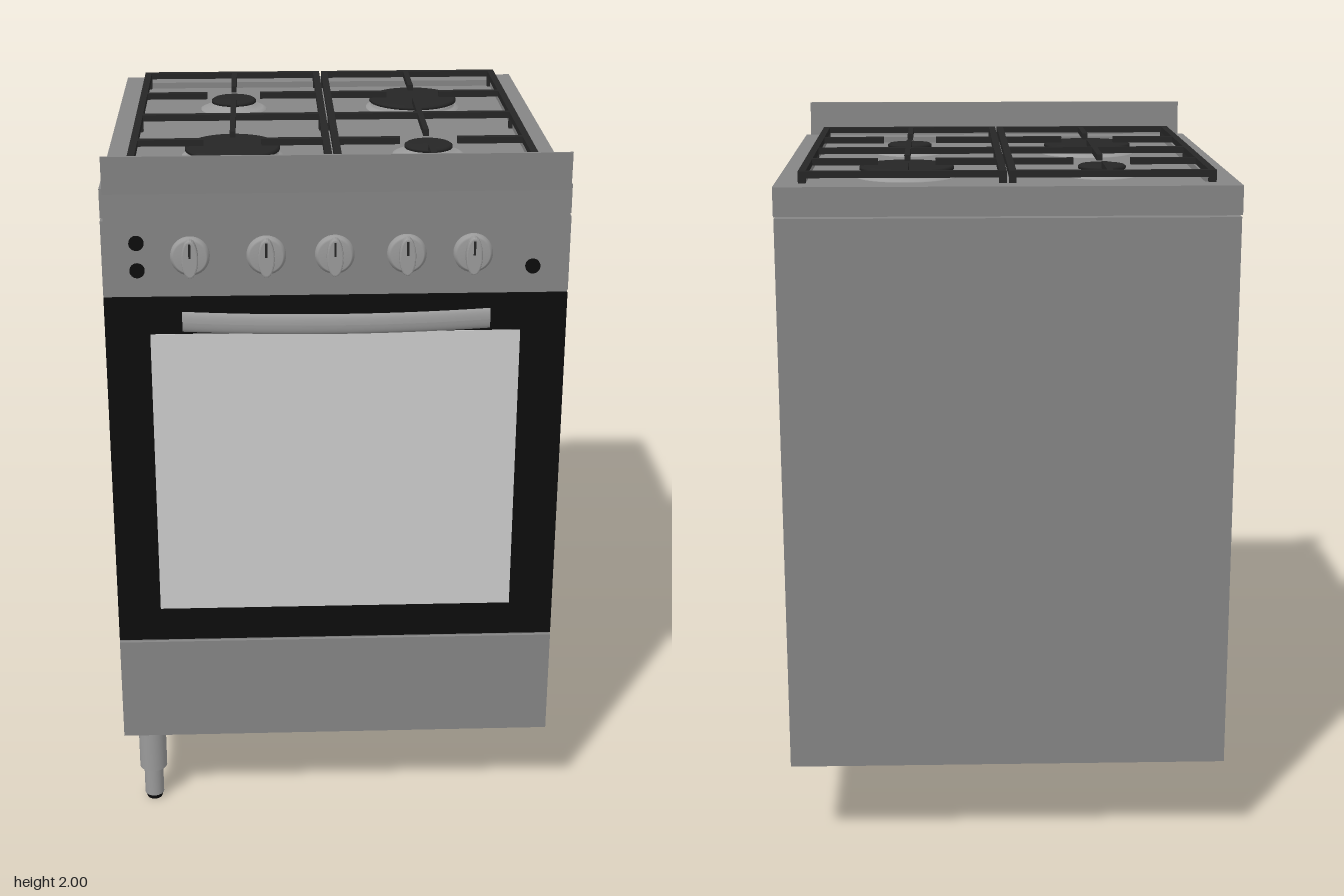
import * as THREE from 'three';

const mat = (color) => new THREE.MeshStandardMaterial({ color });
const steel = mat(0x858585), light = mat(0xcccccc), metal = mat(0x9a9a9a);
const black = mat(0x0c0c0c), iron = mat(0x262626);

export function createModel() {
  const model = new THREE.Group();

  const add = (name, geometry, material, x = 0, y = 0, z = 0, parent = model) => {
    const mesh = new THREE.Mesh(geometry, material);
    mesh.name = name;
    mesh.position.set(x, y, z);
    parent.add(mesh);
    return mesh;
  };
  // Box given by its limits on each axis
  const block = (name, material, [x0, x1], [y0, y1], [z0, z1], parent) =>
    add(name, new THREE.BoxGeometry(x1 - x0, y1 - y0, z1 - z0), material,
      (x0 + x1) / 2, (y0 + y1) / 2, (z0 + z1) / 2, parent);
  const lathe = (points, segments = 40) =>
    new THREE.LatheGeometry(points.map(([r, y]) => new THREE.Vector2(r, y)), segments);
  const group = (name, x = 0, y = 0, z = 0) => {
    const g = new THREE.Group();
    g.name = name;
    g.position.set(x, y, z);
    model.add(g);
    return g;
  };

  // Cabinet and front panels
  const W = 0.617;
  block('cabinet', steel, [-W, W], [0.255, 1.815], [-0.67, 0.625]);
  block('drawerFront', steel, [-W, W], [0.255, 0.565], [0.62, 0.635]);
  block('controlPanel', steel, [-W, W], [1.612, 1.815], [0.62, 0.635]);

  // Oven door, window and bowed handle
  block('ovenDoor', black, [-W, W], [0.572, 1.603], [0.62, 0.633]);
  block('doorWindow', light, [-0.497, 0.494], [0.672, 1.5], [0.625, 0.635]);
  const handle = new THREE.CylinderGeometry(0.028, 0.028, 0.82, 24, 24).rotateZ(Math.PI / 2);
  const hp = handle.attributes.position;
  for (let i = 0; i < hp.count; i++) {
    const t = hp.getX(i) / 0.41;
    hp.setZ(i, hp.getZ(i) * 0.4 - 0.033 * t * t);
  }
  handle.computeVertexNormals();
  add('doorHandle', handle, metal, 0, 1.538, 0.676);
  for (const s of [-1, 1])
    block('handleMount', metal, [s * 0.36 - 0.02, s * 0.36 + 0.02], [1.52, 1.556], [0.63, 0.652]);

  // Control knobs: round skirt, dial and raised grip
  for (const x of [-0.385, -0.185, -0.005, 0.185, 0.36]) {
    const knob = group('knob', x, 1.72, 0.635);
    const dial = lathe([[0.052, 0], [0.052, 0.012], [0.047, 0.017], [0.043, 0.022], [0, 0.022]]);
    add('knobDial', dial.rotateX(Math.PI / 2), metal, 0, 0, 0, knob);
    const shape = new THREE.Shape();
    shape.absellipse(0, 0, 0.018, 0.047, 0, Math.PI * 2);
    add('knobGrip', new THREE.ExtrudeGeometry(shape, {
      depth: 0.022, curveSegments: 16, bevelSize: 0.004, bevelThickness: 0.004, bevelSegments: 2,
    }), metal, 0, 0, 0.018, knob);
    block('knobPointer', iron, [-0.003, 0.003], [0.005, 0.043], [0.04, 0.0455], knob);
  }
  // Push buttons
  for (const [x, y] of [[-0.525, 1.755], [-0.525, 1.68], [0.52, 1.68]])
    add('pushButton', new THREE.CylinderGeometry(0.02, 0.02, 0.01, 24).rotateX(Math.PI / 2),
      black, x, y, 0.636);

  // Hob: rim with a shallow well
  const outline = (x, z0, z1, Type) => new Type([
    [-x, z0], [x, z0], [x, z1], [-x, z1]].map(([a, b]) => new THREE.Vector2(a, -b)));
  const rim = outline(W, 0.63, -0.683, THREE.Shape);
  rim.holes.push(outline(0.545, 0.55, -0.6, THREE.Path));
  add('hobRim', new THREE.ExtrudeGeometry(rim, { depth: 0.078, bevelEnabled: false })
    .rotateX(-Math.PI / 2), steel, 0, 1.822, 0);
  block('hobWell', steel, [-0.55, 0.55], [1.81, 1.882], [-0.605, 0.555]);

  // Leaning splashback along the rear edge
  const profile = new THREE.Shape([[0.683, 1.825], [0.673, 1.825], [0.673, 1.9], [0.68, 2], [0.687, 2], [0.683, 1.9]]
    .map(([z, y]) => new THREE.Vector2(z, y)));
  add('splashback', new THREE.ExtrudeGeometry(profile, { depth: 1.21, bevelEnabled: false })
    .rotateY(Math.PI / 2), steel, -0.605, 0, 0).geometry.applyMatrix4(new THREE.Matrix4().makeRotationY(Math.PI))
    .translate(1.21, 0, 0);

  // Gas burners: large and small alternate diagonally
  const backZ = -0.318, frontZ = 0.245, cx = 0.273;
  for (const [x, z, big] of [[-cx, backZ, false], [cx, backZ, true], [-cx, frontZ, true], [cx, frontZ, false]]) {
    const burner = group('burner', x, 1.88, z);
    const [base, cap] = big ? [0.142, 0.132] : [0.1, 0.067];
    add('burnerBase', lathe([[base, 0], [base, 0.004], [base - 0.012, 0.009],
      [cap - 0.008, 0.013], [cap - 0.008, 0.024], [0, 0.024]], 48), metal, 0, 0, 0, burner);
    add('burnerCap', lathe([[0, 0.023], [cap, 0.023], [cap, 0.03], [cap - 0.006, 0.034], [0, 0.036]], 48),
      iron, 0, 0, 0, burner);
  }

  // Pan supports: one frame per side with fingers around each burner
  const b = 0.01, top = [1.914, 1.932], z0 = -0.61, z1 = 0.56, midZ = -0.045, gap = 0.08;
  for (const s of [-1, 1]) {
    const grate = group('panSupport');
    const alongX = (a, c, z) =>
      block('grateBar', iron, [Math.min(s * a, s * c), Math.max(s * a, s * c)], top, [z - b, z + b], grate);
    const alongZ = (x, a, c) =>
      block('grateBar', iron, [s * x - b * 0.8, s * x + b * 0.8], top, [a, c], grate);
    const inner = 0.003, outer = 0.555;
    for (const z of [z0 + b, midZ, z1 - b]) alongX(inner, outer, z);
    for (const x of [inner + b, outer - b])
      block('grateSide', iron, [s * x - b, s * x + b], top, [z0, z1], grate);
    for (const [z, near, far] of [[backZ, z0, midZ], [frontZ, midZ, z1]]) {
      alongX(inner, cx - gap, z);
      alongX(cx + gap, outer, z);
      alongZ(cx, near, z - gap);
      alongZ(cx, z + gap, far);
    }
    // Feet at corners and mid sides
    for (const x of [inner + b, outer - b])
      for (const z of [z0 + b, midZ, z1 - b])
        block('grateFoot', iron, [s * x - b, s * x + b], [1.88, 1.92], [z - b, z + b], grate);
  }

  // Adjustable leg at the front corner
  const leg = group('leg', -0.54, 0, 0.56);
  add('legSleeve', new THREE.CylinderGeometry(0.04, 0.04, 0.15, 32), metal, 0, 0.183, 0, leg);
  add('legStem', new THREE.CylinderGeometry(0.028, 0.028, 0.1, 32), metal, 0, 0.065, 0, leg);
  add('legFoot', new THREE.CylinderGeometry(0.027, 0.022, 0.016, 32), black, 0, 0.008, 0, leg);

  return model;
}
